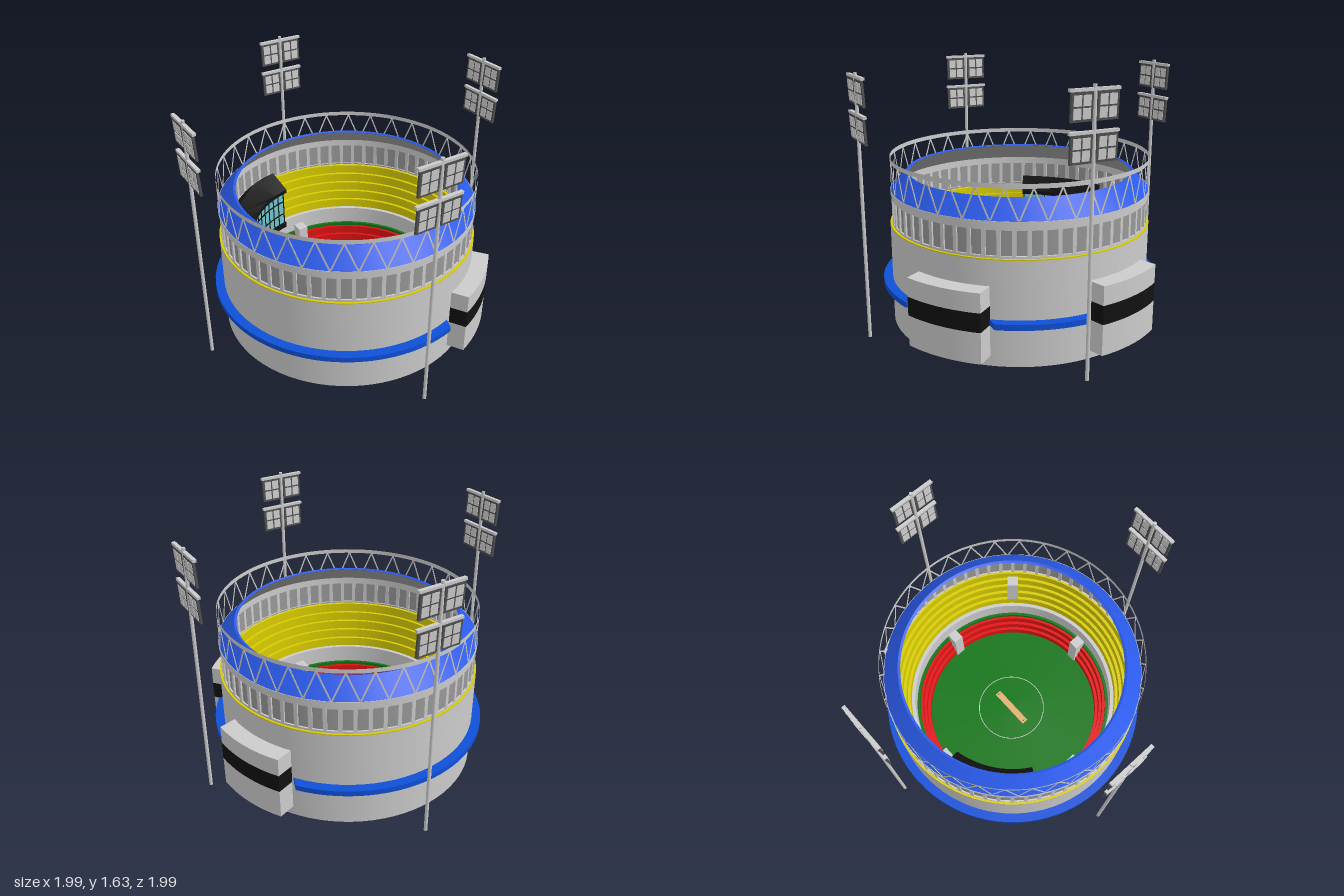
import * as THREE from 'three';
import { toCreasedNormals } from 'three/addons/utils/BufferGeometryUtils.js';

const mat = (color) => new THREE.MeshStandardMaterial({ color, side: THREE.DoubleSide });
const GREY = mat(0xcccccc), PANEL = mat(0x999999), DARK = mat(0x505050), BLACK = mat(0x111111);
const BLUE = mat(0x0f50d8), ROOF = mat(0x2a5aea), YELLOW = mat(0xd8cc00), RED = mat(0xe01212);
const GREEN = mat(0x0f7515), GLASS = mat(0x6cc4cc), SAND = mat(0xe0b070), WHITE = mat(0xeeeeee);
const rad = THREE.MathUtils.degToRad;

function add(parent, name, geo, material, x = 0, y = 0, z = 0) {
  const m = new THREE.Mesh(geo, material);
  m.name = name;
  m.position.set(x, y, z);
  parent.add(m);
  return m;
}

// Surface of revolution from [radius, height] pairs
function lathe(parent, name, pts, material) {
  const g = new THREE.LatheGeometry(pts.map(([r, y]) => new THREE.Vector2(r, y)), 80);
  return add(parent, name, toCreasedNormals(g, 0.4), material);
}

// Curved block between two radii; angles in degrees from +x towards +z.
// splay shortens the outer arc at both ends.
function arcBlock(r0, r1, a0, a1, y0, y1, splay = 0) {
  const n = Math.max(8, Math.ceil((a1 - a0) / 4));
  const pts = [];
  const arc = (r, from, to) => {
    for (let i = 0; i <= n; i++) {
      const a = rad(from + (to - from) * i / n);
      pts.push(new THREE.Vector2(r * Math.cos(a), r * Math.sin(a)));
    }
  };
  arc(r1, a0 + splay, a1 - splay);
  arc(r0, a1, a0);
  const g = new THREE.ExtrudeGeometry(new THREE.Shape(pts), { depth: y1 - y0, bevelEnabled: false });
  g.rotateX(Math.PI / 2).translate(0, y1, 0);
  return toCreasedNormals(g, 0.4);
}

// Box on a circle, its local z pointing outwards
function radialBox(parent, name, size, r, deg, y, material) {
  const a = rad(deg);
  const m = add(parent, name, new THREE.BoxGeometry(...size), material, r * Math.cos(a), y, r * Math.sin(a));
  m.rotation.y = Math.PI / 2 - a;
  return m;
}

// Stepped seating profile rising outwards
function steps(r0, y0, r1, y1, n) {
  const pts = [];
  for (let i = 0; i < n; i++) {
    const r = r0 + (r1 - r0) * i / n;
    const top = y0 + (y1 - y0) * (i + 1) / n;
    pts.push([r, y0 + (y1 - y0) * i / n], [r, top], [r0 + (r1 - r0) * (i + 1) / n, top]);
  }
  return pts;
}

function floodlight() {
  const g = new THREE.Group();
  g.name = 'floodlight';
  add(g, 'pole', new THREE.CylinderGeometry(0.011, 0.011, 1.63, 12), GREY, 0, 0.815, 0);
  for (const top of [1.605, 1.39]) {
    add(g, 'crossBar', new THREE.BoxGeometry(0.3, 0.016, 0.022), GREY, 0, top, 0);
    for (const side of [-1, 1]) {
      const lamp = new THREE.Group();
      lamp.name = 'lampPanel';
      lamp.position.set(side * 0.078, top - 0.085, 0);
      lamp.rotation.x = 0.05;
      g.add(lamp);
      add(lamp, 'lampFrame', new THREE.BoxGeometry(0.13, 0.15, 0.014), DARK);
      for (const x of [-1, 1]) for (const y of [-1, 1])
        add(lamp, 'lamp', new THREE.BoxGeometry(0.046, 0.056, 0.02), GREY, x * 0.028, y * 0.033, 0);
    }
  }
  return g;
}

export function createModel() {
  const model = new THREE.Group();
  model.name = 'stadium';
  const bowl = new THREE.Group();
  bowl.name = 'bowl';
  bowl.position.set(0.003, 0, -0.015);
  model.add(bowl);

  // Playing field
  add(bowl, 'field', new THREE.CylinderGeometry(0.82, 0.82, 0.02, 80), GREEN, 0, 0.041, 0);
  add(bowl, 'pitch', new THREE.BoxGeometry(0.3, 0.004, 0.045), SAND, 0.007, 0.053, -0.008);
  for (const s of [-1, 1])
    add(bowl, 'crease', new THREE.BoxGeometry(0.004, 0.006, 0.02), DARK, 0.007 + s * 0.135, 0.053, -0.008);
  const circle = add(bowl, 'fieldCircle', new THREE.RingGeometry(0.234, 0.239, 80), WHITE, 0.007, 0.053, -0.008);
  circle.rotation.x = -Math.PI / 2;

  // Outer wall and seating tiers
  lathe(bowl, 'outerWall', [[0.823, 0.03], [0.823, 0.665]], GREY);
  lathe(bowl, 'wallRim', [[0.823, 0.665], [0.823, 0.671], [0.79, 0.671]], YELLOW);
  lathe(bowl, 'upperSeats', steps(0.705, 0.36, 0.805, 0.668, 5), YELLOW);
  lathe(bowl, 'walkway', [[0.68, 0.24], [0.68, 0.36], [0.706, 0.36]], GREY);
  lathe(bowl, 'hedge', [[0.66, 0.22], [0.66, 0.24], [0.682, 0.24]], GREEN);
  lathe(bowl, 'lowerSeats', steps(0.6, 0.05, 0.662, 0.22, 3), RED);
  for (let i = 0; i < 4; i++)
    radialBox(bowl, 'tunnel', [0.068, 0.25, 0.08], 0.627, i * 90, 0.175, GREY);
  radialBox(bowl, 'cameraTower', [0.075, 0.28, 0.07], 0.74, 42, 0.5, GREY);

  // Panelled gallery
  lathe(bowl, 'galleryPanels', [[0.8, 0.67], [0.8, 0.84]], PANEL);
  lathe(bowl, 'galleryBase', [[0.79, 0.67], [0.81, 0.67], [0.81, 0.685], [0.79, 0.685]], GREY);
  lathe(bowl, 'galleryTop', [[0.79, 0.832], [0.81, 0.832], [0.81, 0.856], [0.815, 0.856],
    [0.815, 0.884], [0.79, 0.884], [0.79, 0.832]], GREY);
  for (let i = 0; i < 60; i++)
    radialBox(bowl, 'galleryPillar', [0.023, 0.16, 0.02], 0.8, i * 6, 0.757, GREY);

  // Sloping roof with grey underside
  lathe(bowl, 'roof', [[0.812, 0.884], [0.71, 0.992], [0.695, 0.985]], ROOF);
  lathe(bowl, 'roofUnderside', [[0.695, 0.984], [0.795, 0.872]], PANEL);

  // Zigzag truss with a thin top ring
  lathe(bowl, 'trussRing', [[0.811, 1.065], [0.811, 1.092]], GREY);
  const bays = 64;
  for (let i = 0; i < bays; i++) {
    const strut = radialBox(bowl, 'trussStrut', [0.009, 0.205, 0.003], 0.808, (i + 0.5) * 360 / bays, 0.973, GREY);
    strut.rotateZ((i % 2 ? 1 : -1) * Math.atan2(0.808 * 2 * Math.PI / bays, 0.19));
  }

  // Blue belt broken by the two entrance blocks
  add(bowl, 'belt', arcBlock(0.815, 0.88, 74, 326, 0.28, 0.315, 3), BLUE);
  add(bowl, 'belt', arcBlock(0.815, 0.88, -1, 40, 0.28, 0.315, 3), BLUE);
  for (const a of [39, -34]) {
    const b = a + 34;
    add(bowl, 'entranceBase', arcBlock(0.8, 0.93, a, b, 0.09, 0.28, 2), GREY);
    add(bowl, 'entranceBand', arcBlock(0.8, 0.931, a, b, 0.28, 0.395, 2), BLACK);
    add(bowl, 'entranceTop', arcBlock(0.8, 0.93, a, b, 0.395, 0.512, 2), GREY);
  }

  // Glazed pavilion inside the bowl
  add(bowl, 'pavilionGlass', arcBlock(0.63, 0.74, -149, -103, 0.39, 0.67), GLASS);
  add(bowl, 'pavilionSill', arcBlock(0.62, 0.74, -150, -102, 0.35, 0.39), BLACK);
  for (const y of [0.46, 0.56])
    add(bowl, 'pavilionRail', arcBlock(0.626, 0.64, -149, -103, y, y + 0.008), BLACK);
  for (let i = 0; i <= 10; i++)
    radialBox(bowl, 'pavilionMullion', [0.006, 0.28, 0.012], 0.631, -149 + i * 4.6, 0.53, BLACK);
  const canopy = arcBlock(0.6, 0.74, -150, -102, 0.645, 0.67);
  const p = canopy.attributes.position;
  for (let i = 0; i < p.count; i++)
    p.setY(i, p.getY(i) + (Math.hypot(p.getX(i), p.getZ(i)) - 0.6) * 0.55);
  add(bowl, 'pavilionCanopy', toCreasedNormals(canopy, 0.4), BLACK);

  // Four floodlight masts
  for (const [x, z, turn] of [[-0.09, 0.984, 0], [0.083, -0.984, Math.PI],
    [0.984, 0.083, Math.PI / 2], [-0.984, -0.09, -Math.PI / 2]]) {
    const light = floodlight();
    light.position.set(x, 0, z);
    light.rotation.y = turn;
    model.add(light);
  }
  return model;
}
